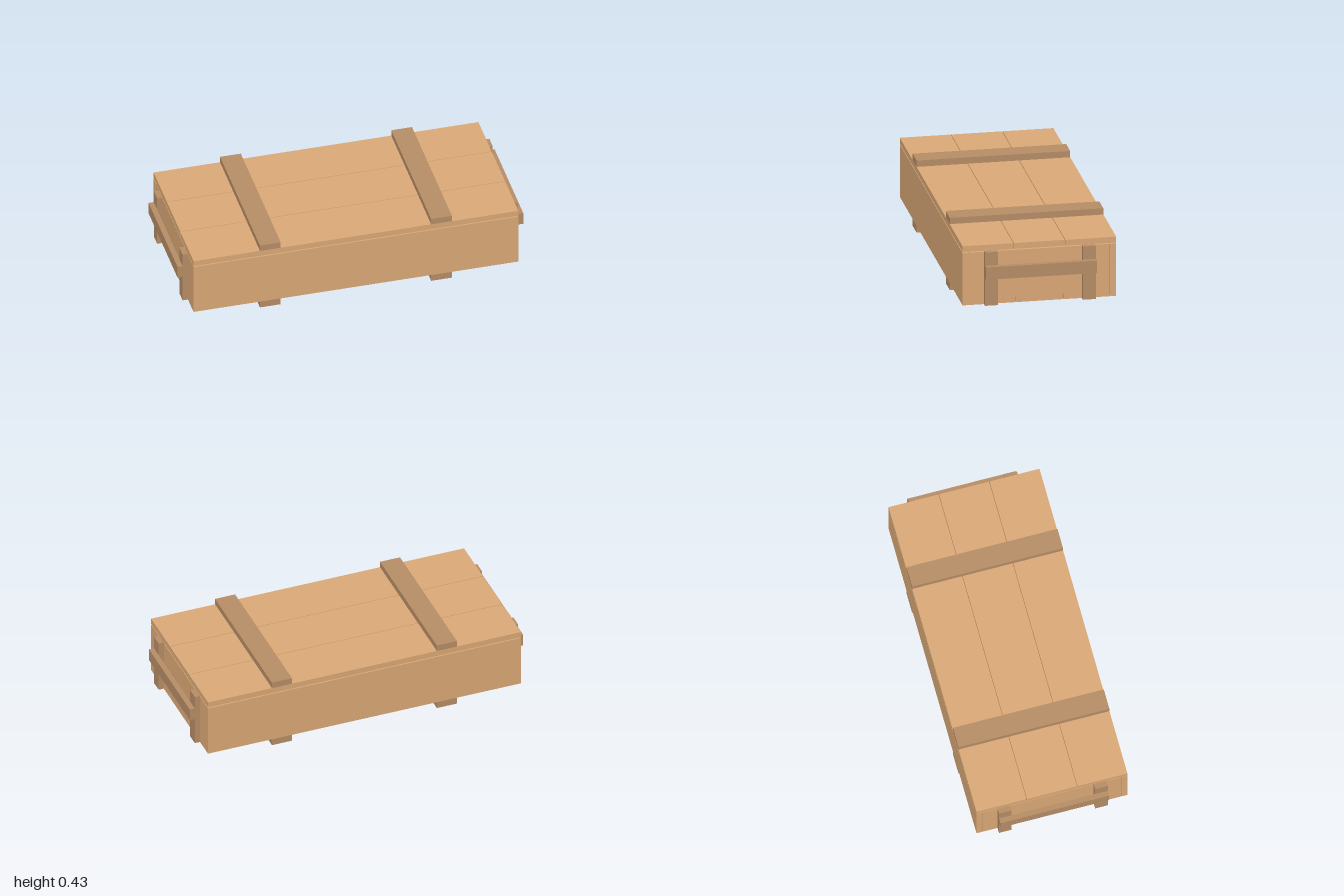
import * as THREE from 'three';

const plank = new THREE.MeshStandardMaterial({ color: 0xdeab78 });
const batten = new THREE.MeshStandardMaterial({ color: 0xb98f68 });

// Box given by its extents along each axis
function board(parent, name, material, [x0, x1], [y0, y1], [z0, z1]) {
  const mesh = new THREE.Mesh(new THREE.BoxGeometry(x1 - x0, y1 - y0, z1 - z0), material);
  mesh.position.set((x0 + x1) / 2, (y0 + y1) / 2, (z0 + z1) / 2);
  mesh.name = name;
  parent.add(mesh);
}

// Extent mirrored to the given side
const side = (s, a, b) => (s > 0 ? [a, b] : [-b, -a]);

// Row of three boards with narrow gaps, laid across z
function deck(parent, name, halfX, y, halfZ) {
  const gap = 0.004;
  const width = (2 * halfZ - 2 * gap) / 3;
  for (let i = 0; i < 3; i++) {
    const z = -halfZ + i * (width + gap);
    board(parent, name, plank, [-halfX, halfX], y, [z, z + width]);
  }
}

export function createModel() {
  const crate = new THREE.Group();
  crate.name = 'crate';
  const lid = new THREE.Group();
  lid.name = 'lid';
  const box = new THREE.Group();
  box.name = 'box';
  crate.add(lid, box);

  // Lid and floor planks
  deck(lid, 'lidPlank', 0.939, [0.356, 0.39], 0.437);
  deck(box, 'floorPlank', 0.939, [0.04, 0.074], 0.4);

  for (const s of [1, -1]) {
    // Long walls and end walls
    board(box, 'longWall', plank, [-0.939, 0.939], [0.04, 0.35], side(s, 0.402, 0.437));
    board(box, 'endWall', plank, side(s, 0.905, 0.939), [0.074, 0.35], [-0.4, 0.4]);

    // Cross battens on the lid and skids under the floor
    board(lid, 'lidBatten', batten, side(s, 0.435, 0.555), [0.39, 0.427], [-0.437, 0.437]);
    board(box, 'skid', batten, side(s, 0.435, 0.555), [0, 0.04], [-0.437, 0.437]);

    // Carrying handle: two posts and a rail on each end
    const handle = new THREE.Group();
    handle.name = 'handle';
    for (const t of [1, -1]) {
      board(handle, 'handlePost', batten, side(s, 0.939, 0.97), [0.04, 0.355], side(t, 0.242, 0.315));
    }
    board(handle, 'handleRail', batten, side(s, 0.97, 1), [0.204, 0.277], [-0.315, 0.315]);
    box.add(handle);
  }
  return crate;
}
